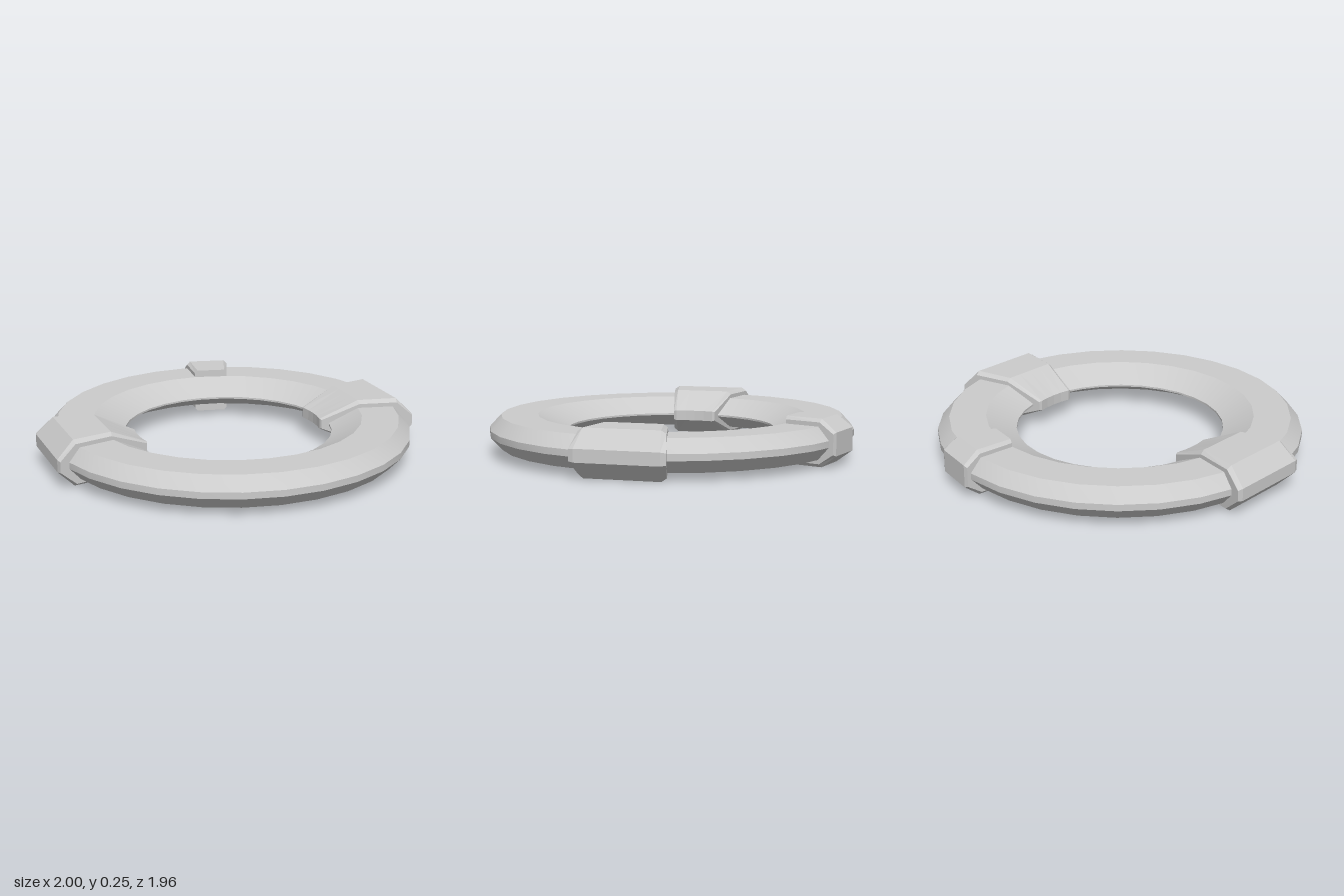
import * as THREE from 'three';
import { toCreasedNormals } from 'three/addons/utils/BufferGeometryUtils.js';

const MID_Y = 0.1225;
const rad = THREE.MathUtils.degToRad;

// Wedge swept around the ring: profile is [radius, half-height side, followsArc],
// with straight outer chords and an optional curved inner edge.
function wedgeGeometry(profile, halfAngle, bevelAngle) {
  const stations = [[-halfAngle - bevelAngle, true]];
  for (let i = 0; i <= 4; i++) stations.push([halfAngle * (i / 2 - 1), false]);
  stations.push([halfAngle + bevelAngle, true]);

  const rings = stations.map(([deg, inset]) => profile.map(([r0, h0, arc]) => {
    const r = inset ? 0.75 + (r0 - 0.75) * 0.965 : r0;
    const h = inset ? h0 * 0.86 : h0;
    const a = rad(deg);
    const x = arc ? r * Math.cos(a) : r;
    return [x, MID_Y + h, x * Math.tan(a)];
  }));

  const pos = [];
  const tri = (a, b, c) => pos.push(...a, ...b, ...c);
  const n = profile.length;
  for (let s = 0; s < rings.length - 1; s++) {
    for (let i = 0; i < n; i++) {
      const j = (i + 1) % n;
      tri(rings[s][i], rings[s][j], rings[s + 1][i]);
      tri(rings[s][j], rings[s + 1][j], rings[s + 1][i]);
    }
  }
  // End caps
  const first = rings[0], last = rings[rings.length - 1];
  for (let i = 1; i < n - 1; i++) {
    tri(last[0], last[i], last[i + 1]);
    tri(first[0], first[i + 1], first[i]);
  }
  const geo = new THREE.BufferGeometry();
  geo.setAttribute('position', new THREE.Float32BufferAttribute(pos, 3));
  geo.computeVertexNormals();
  return geo;
}

export function createModel() {
  const group = new THREE.Group();
  group.name = 'clampedRing';
  const smooth = new THREE.MeshStandardMaterial({ color: 0xcccccc });
  const flat = new THREE.MeshStandardMaterial({ color: 0xcccccc, flatShading: true });

  const add = (name, geo, material, angle = 0) => {
    const mesh = new THREE.Mesh(geo, material);
    mesh.name = name;
    mesh.rotation.y = rad(angle);
    mesh.position.z = 0.008;
    group.add(mesh);
  };

  // Bevelled ring body
  const section = [
    [0.555, -0.005], [0.715, -0.084], [0.91, -0.084], [0.972, -0.017],
    [0.972, 0.017], [0.91, 0.084], [0.715, 0.084], [0.555, 0.005], [0.555, -0.005],
  ].map(([r, h]) => new THREE.Vector2(r, MID_Y + h));
  const ring = new THREE.LatheGeometry(section, 30, rad(6));
  add('ring', toCreasedNormals(ring, 0.4), smooth);

  // Two full clamps wrapping the ring on either side
  const clamp = wedgeGeometry([
    [0.505, -0.028, true], [0.7, -0.1225], [0.91, -0.1225], [1, -0.033],
    [1, 0.033], [0.91, 0.1225], [0.7, 0.1225], [0.505, 0.028, true],
  ], 12, 1.6);
  add('leftClamp', clamp, flat, 0);
  add('rightClamp', clamp, flat, 180);

  // Smaller block clipped over the outer rim at the back
  const clip = wedgeGeometry([
    [0.71, -0.1225], [0.91, -0.1225], [0.992, -0.06],
    [0.992, 0.06], [0.91, 0.1225], [0.71, 0.1225],
  ], 6.3, 1.2);
  add('backClip', clip, flat, 76);

  return group;
}
